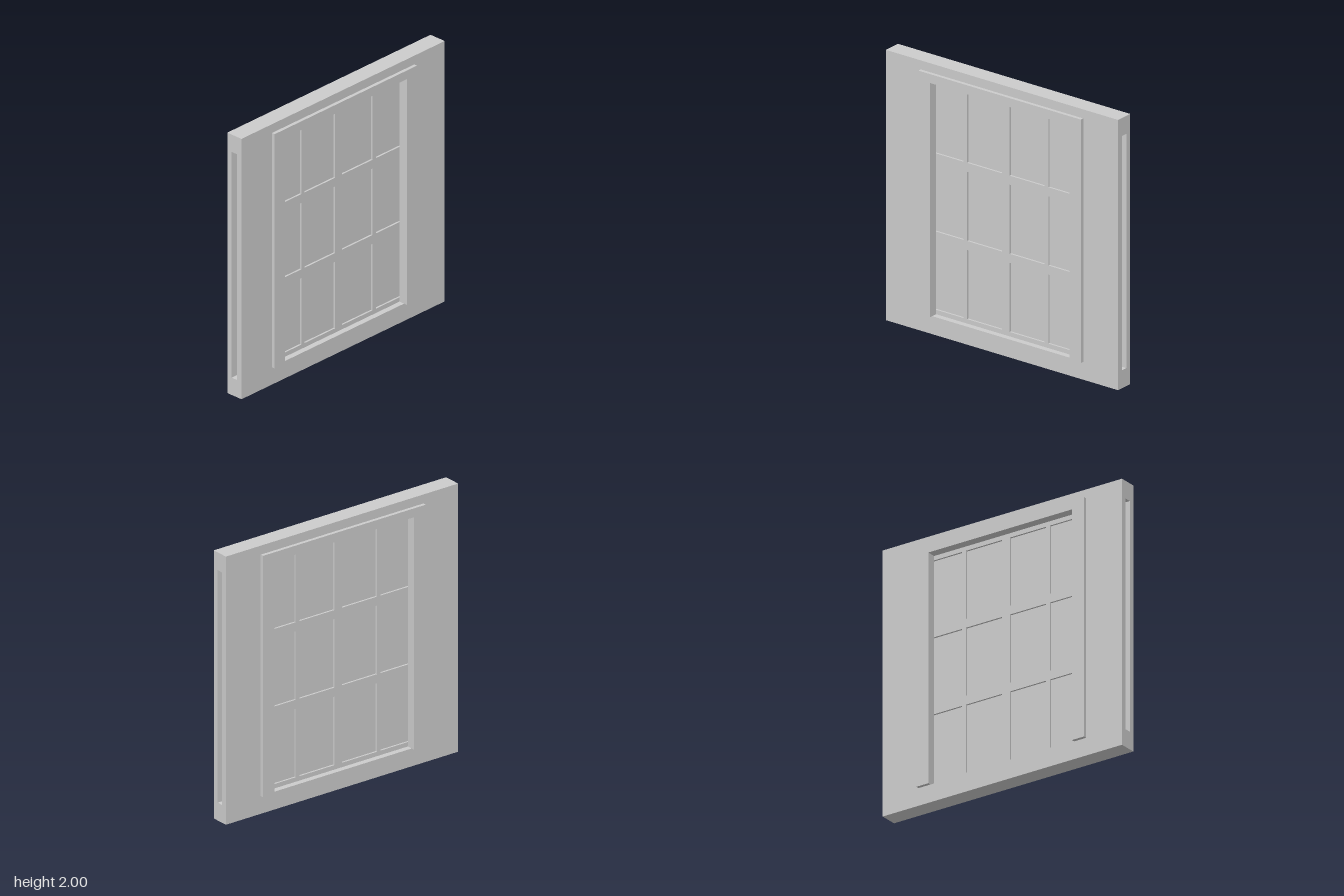
import * as THREE from 'three';

const material = new THREE.MeshStandardMaterial({ color: 0xcccccc });

// Main sizes
const WALL = { half: 1, height: 2, z: 0.067 };
const OPENING = { half: 0.6, bottom: 0.133, top: 1.867 };
const POCKET_Z = 0.025; // half width of the slot the leaves slide in
const LEAF = { width: 0.7, z: 0.024, panelZ: 0.01 };

function rect(Type, x0, y0, x1, y1) {
  const p = new Type();
  p.moveTo(x0, y0);
  p.lineTo(x1, y0);
  p.lineTo(x1, y1);
  p.lineTo(x0, y1);
  p.closePath();
  return p;
}

// Extrude a flat shape between two depths
function slab(name, shape, z0, z1) {
  const geo = new THREE.ExtrudeGeometry(shape, { depth: z1 - z0, bevelEnabled: false });
  geo.translate(0, 0, z0);
  const mesh = new THREE.Mesh(geo, material);
  mesh.name = name;
  return mesh;
}

// Two wall skins around a core that leaves a pocket open to both ends
function createWall() {
  const wall = new THREE.Group();
  wall.name = 'wall';
  const skin = rect(THREE.Shape, -WALL.half, 0, WALL.half, WALL.height);
  skin.holes.push(rect(THREE.Path, -OPENING.half, OPENING.bottom, OPENING.half, OPENING.top));
  const bottom = rect(THREE.Shape, -WALL.half, 0, WALL.half, OPENING.bottom);
  const top = rect(THREE.Shape, -WALL.half, OPENING.top, WALL.half, WALL.height);
  wall.add(
    slab('frontSkin', skin, POCKET_Z, WALL.z),
    slab('backSkin', skin, -WALL.z, -POCKET_Z),
    slab('bottomCore', bottom, -POCKET_Z, POCKET_Z),
    slab('topCore', top, -POCKET_Z, POCKET_Z)
  );
  return wall;
}

// Casing: two legs and a head in one outline, open at the bottom
function createCasing(name, z0, z1) {
  const outer = 0.7, head = 1.933;
  const { half, bottom, top } = OPENING;
  const shape = new THREE.Shape([
    [-outer, bottom], [-half, bottom], [-half, top], [half, top],
    [half, bottom], [outer, bottom], [outer, head], [-outer, head],
  ].map(([x, y]) => new THREE.Vector2(x, y)));
  return slab(name, shape, z0, z1);
}

// Sliding leaf: a grid frame of 2 x 3 openings over a thin panel
function createLeaf(name, side) {
  const leaf = new THREE.Group();
  leaf.name = name;
  const stile = 0.033, rail = 0.067, edge = 0.033;
  const w = (LEAF.width - 3 * stile) / 2;
  const h = (OPENING.top - OPENING.bottom - 2 * edge - 2 * rail) / 3;
  const x0 = side > 0 ? 0 : -LEAF.width;
  const x1 = x0 + LEAF.width;
  const frame = rect(THREE.Shape, x0, OPENING.bottom, x1, OPENING.top);
  for (let col = 0; col < 2; col++) {
    for (let row = 0; row < 3; row++) {
      const x = x0 + stile + col * (w + stile);
      const y = OPENING.bottom + edge + row * (h + rail);
      frame.holes.push(rect(THREE.Path, x, y, x + w, y + h));
    }
  }
  const panel = rect(THREE.Shape, x0 + 0.01, OPENING.bottom + 0.01, x1 - 0.01, OPENING.top - 0.01);
  leaf.add(
    slab('leafFrame', frame, -LEAF.z, LEAF.z),
    slab('leafPanel', panel, -LEAF.panelZ, LEAF.panelZ)
  );
  return leaf;
}

export function createModel() {
  const model = new THREE.Group();
  model.name = 'doubleSlidingDoor';
  model.add(
    createWall(),
    createCasing('frontCasing', WALL.z, 0.093),
    createCasing('backCasing', -0.093, -WALL.z),
    createLeaf('leftLeaf', 1),
    createLeaf('rightLeaf', -1)
  );
  return model;
}
